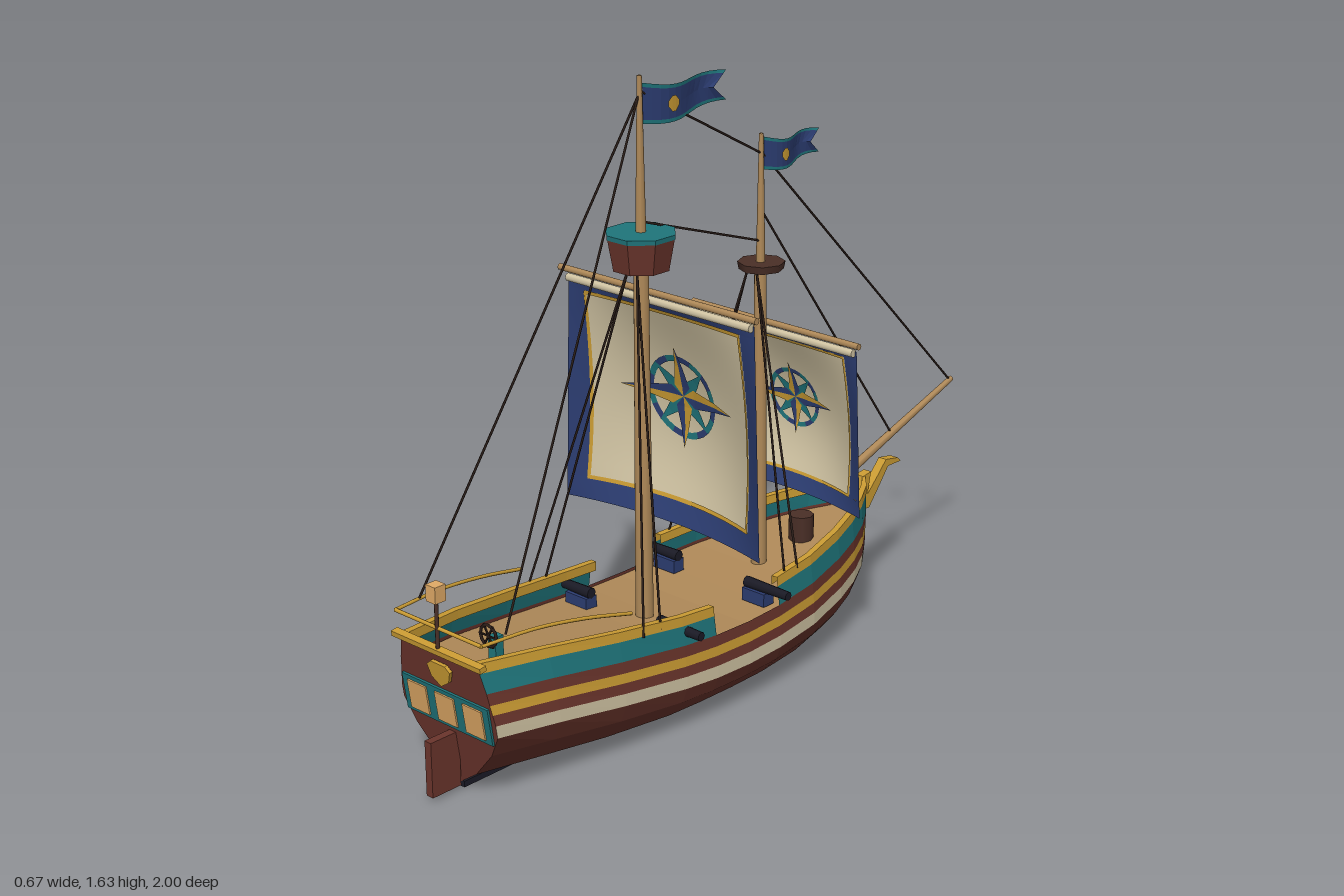
import * as THREE from 'three';

const mat = (name, color) => {
  const m = new THREE.MeshStandardMaterial({ color, side: THREE.DoubleSide });
  m.name = name;
  return m;
};
const V = (x, y, z) => new THREE.Vector3(x, y, z);

// Surface through rows of points; flat facets unless smooth
function loft(rows, smooth = false) {
  const n = rows[0].length, idx = [];
  for (let i = 0; i < rows.length - 1; i++)
    for (let j = 0; j < n - 1; j++) {
      const a = i * n + j, b = a + n;
      idx.push(a, b, a + 1, b, b + 1, a + 1);
    }
  let g = new THREE.BufferGeometry().setFromPoints(rows.flat());
  g.setIndex(idx);
  if (!smooth) g = g.toNonIndexed();
  g.computeVertexNormals();
  return g;
}

// Hull stations: z, half beam, sheer rise, keel height, sharpness
const STATIONS = [
  [0.925, 0.165, 0.07, 0, 3], [0.75, 0.192, 0.055, 0, 2], [0.55, 0.213, 0.03, 0, 1.3],
  [0.35, 0.228, 0.008, 0, 1], [0.24, 0.232, 0, 0, 1], [0.12, 0.233, -0.003, 0, 1], [0, 0.23, 0, 0, 1],
  [-0.15, 0.215, 0.008, 0, 1.1], [-0.3, 0.18, 0.02, 0, 1.4], [-0.4, 0.145, 0.029, 0.008, 1.8],
  [-0.48, 0.105, 0.037, 0.025, 2.3], [-0.54, 0.062, 0.044, 0.06, 3], [-0.575, 0.012, 0.05, 0.13, 3],
];
// Section levels: beam factor, height
const LEVELS = [[0.03, 0.008], [0.72, 0.035], [0.93, 0.085], [1, 0.125], [1, 0.158], [0.99, 0.185],
  [0.98, 0.21], [0.97, 0.24], [0.94, 0.29], [0.93, 0.315]];

function hullPoint([z, beam, rise, keel, sharp], [f, h], side = 1) {
  const Y = h + rise * Math.min(1, h / 0.12);
  const y = Y + keel * Math.max(0, 1 - Y / 0.16);
  const end = Math.pow(Math.abs(z) / (z > 0 ? 0.925 : 0.575), 4);
  return V(side * beam * Math.pow(f, sharp), y, z + Math.sign(z) * 0.15 * (y - 0.18) * end);
}

export function createModel() {
  const root = new THREE.Group();
  root.name = 'sailingShip';
  const wood = mat('wood', 0xb08a59), brown = mat('hullBrown', 0x6b352c), gold = mat('gold', 0xcb9c33);
  const teal = mat('teal', 0x1f757b), cream = mat('canvas', 0xd2c5a4), navy = mat('navy', 0x2c3d72);
  const black = mat('tarBlack', 0x1b1b26), rope = mat('rope', 0x2a1d18);
  const dark = mat('darkWood', 0x4a2f27), glow = mat('lampGlass', 0xe0aa66);

  const add = (name, geo, m, parent = root) => {
    const mesh = new THREE.Mesh(geo, m);
    mesh.name = name;
    parent.add(mesh);
    return mesh;
  };
  const box = (name, m, [w, h, d], [x, y, z], parent) => {
    const b = add(name, new THREE.BoxGeometry(w, h, d), m, parent);
    b.position.set(x, y, z);
    return b;
  };
  // Round bar between two points
  const bar = (name, m, a, b, r0, r1 = r0, seg = 8) => {
    const d = b.clone().sub(a);
    const mesh = add(name, new THREE.CylinderGeometry(r1, r0, d.length(), seg), m);
    mesh.position.copy(a).addScaledVector(d, 0.5);
    mesh.quaternion.setFromUnitVectors(V(0, 1, 0), d.normalize());
    return mesh;
  };

  // Hull planking in coloured strakes
  const strakes = [['bottom', black, 0, 1], ['lowerHull', brown, 1, 3], ['creamStrake', cream, 3, 4],
    ['middleHull', brown, 4, 5], ['goldStrake', gold, 5, 6], ['upperHull', brown, 6, 7]];
  const aft = STATIONS.slice(0, 5), fore = STATIONS.slice(6);
  for (const s of [1, -1]) {
    for (const [name, m, a, b] of strakes)
      add(name, loft(STATIONS.map(st => LEVELS.slice(a, b + 1).map(l => hullPoint(st, l, s)))), m);
    for (const part of [aft, fore]) {
      add('bulwark', loft(part.map(st => [7, 8].map(l => hullPoint(st, LEVELS[l], s)))), teal);
      add('rail', loft(part.map(st => {
        const lo = hullPoint(st, LEVELS[8], s), hi = hullPoint(st, LEVELS[9], s);
        const ix = s * Math.max(0, Math.abs(hi.x) - 0.018);
        return [lo, hi, V(ix, hi.y, hi.z), V(ix, lo.y, lo.z)];
      })), gold);
    }
  }
  add('deck', loft(STATIONS.map(st => [1, -1].map(s => hullPoint(st, [0.965, 0.232], s)))), wood);
  add('transom', loft(LEVELS.map(l => [-1, 1].map(s => hullPoint(STATIONS[0], l, s)))), brown);
  box('keel', black, [0.022, 0.016, 1.27], [0, 0.008, 0.265]);
  box('rudder', brown, [0.022, 0.145, 0.09], [0, 0.083, 0.955]);

  // Stern gallery, leaning with the transom
  const stern = new THREE.Group();
  stern.name = 'sternGallery';
  stern.position.set(0, 0.18, 0.927);
  stern.rotation.x = Math.atan(0.15);
  root.add(stern);
  box('galleryPanel', teal, [0.3, 0.1, 0.008], [0, 0.04, 0], stern);
  for (const x of [-0.097, 0, 0.097]) box('sternWindow', glow, [0.066, 0.078, 0.008], [x, 0.04, 0.004], stern);
  box('sternRail', gold, [0.31, 0.014, 0.02], [0, 0.2, 0], stern);
  const shield = new THREE.Shape([[-0.04, 0.155], [-0.025, 0.168], [0.025, 0.168], [0.04, 0.155], [0.03, 0.125],
    [0, 0.105], [-0.03, 0.125]].map(p => new THREE.Vector2(...p)));
  add('sternShield', new THREE.ExtrudeGeometry(shield, { depth: 0.009, bevelEnabled: false }), gold, stern);

  // Poop handrail, lantern and steering wheel
  for (const s of [1, -1]) {
    const path = new THREE.CatmullRomCurve3([V(s * 0.15, 0.435, 0.955), V(s * 0.165, 0.432, 0.8),
      V(s * 0.18, 0.412, 0.65), V(s * 0.195, 0.382, 0.51)]);
    add('handrail', new THREE.TubeGeometry(path, 12, 0.005, 6), gold);
  }
  bar('sternHandrail', gold, V(-0.15, 0.435, 0.955), V(0.15, 0.435, 0.955), 0.005);
  bar('lanternPost', dark, V(0, 0.38, 0.957), V(0, 0.51, 0.957), 0.005);
  box('lantern', glow, [0.033, 0.042, 0.033], [0, 0.526, 0.957]);
  box('wheelStand', teal, [0.026, 0.07, 0.026], [0, 0.32, 0.775]);
  add('steeringWheel', new THREE.TorusGeometry(0.028, 0.004, 6, 12), rope).position.set(0, 0.36, 0.798);
  for (const a of [0, 1, 2]) box('wheelSpoke', rope, [0.066, 0.004, 0.004], [0, 0.36, 0.798]).rotation.z = a * Math.PI / 3;
  bar('capstan', dark, V(0, 0.24, -0.345), V(0, 0.325, -0.345), 0.034, 0.034);

  // Stem, beak and bowsprit
  const prow = (name, pts) => {
    const g = new THREE.ExtrudeGeometry(new THREE.Shape(pts.map(p => new THREE.Vector2(...p))),
      { depth: 0.026, bevelEnabled: false });
    const m = add(name, g, gold);
    m.rotation.y = Math.PI / 2;
    m.position.x = -0.013;
  };
  prow('stem', [[0.55, 0.165], [0.575, 0.16], [0.605, 0.28], [0.625, 0.37], [0.59, 0.365], [0.565, 0.28]]);
  prow('beak', [[0.595, 0.265], [0.62, 0.265], [0.665, 0.32], [0.7, 0.365], [0.757, 0.365], [0.742, 0.378],
    [0.69, 0.387], [0.655, 0.35], [0.6, 0.295]]);
  bar('bowsprit', wood, V(0, 0.355, -0.44), V(0, 0.545, -0.995), 0.014, 0.008);

  // Masts and tops
  bar('mainMast', wood, V(0, 0.2, 0.265), V(0, 1.2, 0.265), 0.024, 0.019, 12);
  bar('mainTopmast', wood, V(0, 1.2, 0.265), V(0, 1.63, 0.265), 0.014, 0.006);
  bar('foreMast', wood, V(0, 0.2, -0.172), V(0, 1.07, -0.172), 0.021, 0.016, 12);
  bar('foreTopmast', wood, V(0, 1.07, -0.172), V(0, 1.41, -0.172), 0.012, 0.006);
  const ring = (y, r) => Array.from({ length: 9 }, (_, i) =>
    V(r * Math.sin((i + 0.5) * Math.PI / 4), y, 0.265 + r * Math.cos((i + 0.5) * Math.PI / 4)));
  add('crowsNest', loft([ring(1.155, 0), ring(1.155, 0.073), ring(1.237, 0.088)]), brown);
  add('crowsNestTop', loft([ring(1.235, 0.089), ring(1.247, 0.09), ring(1.247, 0)]), teal);
  bar('foreTop', dark, V(0, 1.055, -0.175), V(0, 1.075, -0.175), 0.058, 0.062);

  // Square sails with border, trim and compass star
  function sail(name, { y0, y1, wb, wt, z0, bulge, yard }) {
    const grp = new THREE.Group();
    grp.name = name;
    root.add(grp);
    const H = y1 - y0;
    const at = (u, v, off = 0) => V(u * (wb + (wt - wb) * v), y0 + H * v,
      z0 - bulge * (1 - u * u) * Math.sin(Math.PI * (0.15 + 0.85 * v)) + off);
    const patch = (part, m, u0, u1, v0, v1, off, nu = 10, nv = 10) =>
      add(part, loft(Array.from({ length: nv + 1 }, (_, j) => Array.from({ length: nu + 1 }, (_, i) =>
        at(u0 + (u1 - u0) * i / nu, v0 + (v1 - v0) * j / nv, off))), true), m, grp);
    const U = 0.83, B = 0.095, T = 0.945;
    patch('canvas', cream, -U, U, B, T, 0, 12, 12);
    patch('bottomBorder', navy, -1, 1, 0, B, 0, 14, 2);
    patch('topBorder', navy, -1, 1, T, 1, 0, 14, 2);
    for (const s of [1, -1]) patch('sideBorder', navy, s * U, s, B, T, 0, 2, 12);
    // Decoration is laid on both faces
    const c = 0.545;
    const flat = (x, y, off) => at(x / (wb + (wt - wb) * c), c + y / H, off);
    for (const f of [1, -1]) {
      const o = f * 0.003;
      for (const s of [1, -1]) patch('sideTrim', gold, s * (U - 0.022), s * (U + 0.005), B, T, o, 1, 12);
      patch('bottomTrim', gold, -U, U, B - 0.004, B + 0.013, o, 12, 1);
      patch('topTrim', gold, -U, U, T - 0.013, T + 0.004, o, 12, 1);
      const k = H / 0.605;
      for (let i = 0; i < 16; i++) {
        const arc = [0, 1, 2].map(j => (i + j / 2) * Math.PI / 8);
        add('compassRing', loft(arc.map(a => [0.097, 0.114].map(r =>
          flat(k * r * Math.cos(a), k * r * Math.sin(a), o)))), i % 2 ? navy : teal, grp);
      }
      const spike = (a, len, w, side, m, off) => add('compassPoint', loft(
        [[0, 0], [0.2, w], [0.6, w / 2], [1, 0]].map(([t, d]) => [0, side * d].map(e =>
          flat(k * (len * t * Math.cos(a) - e * Math.sin(a)), k * (len * t * Math.sin(a) + e * Math.cos(a)), off)))), m, grp);
      for (let i = 0; i < 4; i++) {
        const a = i * Math.PI / 2;
        for (const s of [1, -1]) {
          spike(a + Math.PI / 4, 0.115, 0.024, s, teal, o * 1.4);
          spike(a, i % 2 ? 0.14 : 0.19, 0.026, s, s > 0 ? gold : navy, o * 1.9);
        }
      }
    }
    bar(name + 'Yard', wood, V(-yard, y1 + 0.02, z0 + 0.012), V(yard, y1 + 0.02, z0 + 0.012), 0.009);
    bar(name + 'FurledCloth', cream, V(-wt + 0.005, y1 - 0.004, z0 + 0.006), V(wt - 0.005, y1 - 0.004, z0 + 0.006), 0.011);
  }
  sail('mainSail', { y0: 0.455, y1: 1.06, wb: 0.335, wt: 0.315, z0: 0.205, bulge: 0.1, yard: 0.333 });
  sail('foreSail', { y0: 0.425, y1: 0.875, wb: 0.288, wt: 0.268, z0: -0.238, bulge: 0.088, yard: 0.285 });

  // Swallow-tailed flags
  function flag(name, z0, yTop, len, h, drop) {
    const at = (t, f, off = 0) => V(0.016 * Math.sin(t * 6) + off,
      yTop - drop * t - 0.008 * Math.sin(t * 5) - h * (1 - 0.25 * t) * f,
      z0 - len * t * (1 - 0.15 * Math.pow(t, 3) * (1 - Math.abs(2 * f - 1))));
    const strip = (fs, m) => add(name, loft(Array.from({ length: 13 }, (_, i) => fs.map(f => at(i / 12, f)))), m);
    strip([0, 0.1], teal);
    strip([0.1, 0.5, 0.9], navy);
    strip([0.9, 1], teal);
    for (const off of [0.004, -0.004])
      add(name + 'Emblem', loft([-1, -0.3, 0.3, 1].map(e => [-1, 1].map(s =>
        at(0.3 + e * 0.07, 0.5 + s * 0.27 * (1 - 0.75 * Math.abs(e)), off)))), gold);
  }
  flag('mainFlag', 0.255, 1.61, 0.3, 0.1, 0.025);
  flag('foreFlag', -0.18, 1.4, 0.222, 0.085, 0.025);

  // Rigging
  const line = (name, a, b) => bar(name, rope, V(...a), V(...b), 0.0032, 0.0032, 5);
  for (const s of [1, -1]) {
    line('backstay', [0, 1.58, 0.27], [s * 0.15, 0.44, 0.88]);
    for (const z of [0.48, 0.42]) line('mainShroud', [s * 0.015, 1.155, 0.295], [s * 0.205, 0.31, z]);
    for (const z of [-0.04, -0.09]) line('foreShroud', [s * 0.015, 1.06, -0.14], [s * 0.205, 0.31, z]);
  }
  line('topStay', [0, 1.59, 0.26], [0, 1.36, -0.17]);
  line('middleStay', [0, 1.27, 0.26], [0, 1.13, -0.17]);
  line('foreStay', [0, 1.36, -0.175], [0, 0.545, -0.985]);
  line('innerForeStay', [0, 1.21, -0.175], [0, 0.455, -0.725]);

  // Deck guns
  for (const z of [0.335, 0.01])
    for (const s of [1, -1]) {
      box('gunCarriage', navy, [0.075, 0.035, 0.038], [s * 0.158, 0.252, z]);
      bar('gunBarrel', black, V(s * 0.12, 0.28, z), V(s * 0.262, 0.28, z), 0.015, 0.012);
    }
  return root;
}
